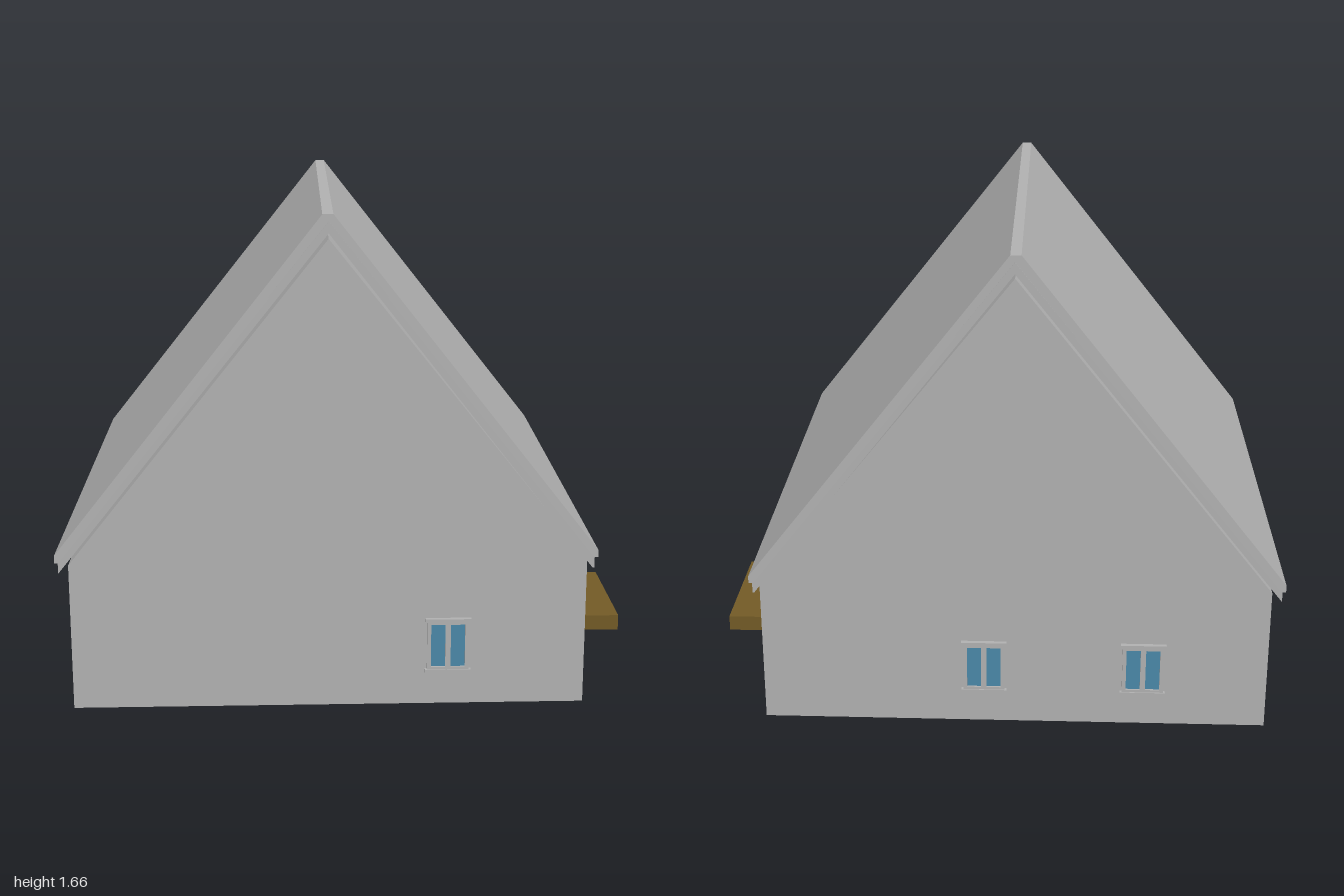
import * as THREE from 'three';

const mat = (name, color, extra = {}) => {
  const m = new THREE.MeshStandardMaterial({ color, ...extra });
  m.name = name;
  return m;
};

// Prism along z, centred on z = 0
function prism(points, halfDepth) {
  const shape = new THREE.Shape(points.map(([x, y]) => new THREE.Vector2(x, y)));
  const g = new THREE.ExtrudeGeometry(shape, { depth: halfDepth * 2, bevelEnabled: false });
  return g.translate(0, 0, -halfDepth);
}

function rectPath(Type, x0, y0, x1, y1) {
  const p = new Type();
  p.moveTo(x0, y0);
  p.lineTo(x1, y0);
  p.lineTo(x1, y1);
  p.lineTo(x0, y1);
  p.closePath();
  return p;
}

export function createModel() {
  const grey = mat('plaster grey', 0xb0b0b0);
  const brown = mat('wood brown', 0x725a26);
  const blue = mat('glass blue', 0x4a87a7);

  const house = new THREE.Group();
  house.name = 'house';
  const add = (parent, name, geometry, material, x = 0, y = 0, z = 0) => {
    const mesh = new THREE.Mesh(geometry, material);
    mesh.name = name;
    mesh.position.set(x, y, z);
    parent.add(mesh);
    return mesh;
  };

  // Walls with gable ends
  const X0 = -0.96, X1 = 0.755, Z = 0.86;
  add(house, 'walls', prism([[X0, 0], [X1, 0], [X1, 0.505], [-0.1, 1.58], [X0, 0.505]], Z), grey);

  // Lower roof layer, a thin shell above the gables
  add(house, 'roofLining', prism([
    [-0.99, 0.485], [-0.1, 1.6], [0.77, 0.485], [0.775, 0.485],
    [0.775, 0.525], [-0.1, 1.638], [-0.99, 0.525],
  ], 0.882), grey);

  // Upper roof layer, slightly longer at the eaves than at the ridge
  const roof = prism([
    [-1, 0.525], [-0.985, 0.525], [-0.1, 1.63], [0.77, 0.525], [0.785, 0.525],
    [0.785, 0.55], [-0.085, 1.66], [-0.12, 1.66], [-1, 0.55],
  ], 1);
  const p = roof.attributes.position;
  for (let i = 0; i < p.count; i++) {
    const t = (p.getY(i) - 0.525) / 1.135;
    p.setZ(i, Math.sign(p.getZ(i)) * (0.892 - 0.013 * t));
  }
  roof.computeVertexNormals();
  add(house, 'roof', roof, grey);

  // Window: frame with two openings, panes, head and sill
  const frameShape = rectPath(THREE.Shape, -0.07, -0.09, 0.07, 0.09);
  for (const s of [-1, 1]) {
    const c = s * 0.033;
    frameShape.holes.push(rectPath(THREE.Path, c - 0.024, -0.075, c + 0.024, 0.075));
  }
  const frameGeo = new THREE.ExtrudeGeometry(frameShape, { depth: 0.011, bevelEnabled: false });
  const paneGeo = new THREE.BoxGeometry(0.05, 0.152, 0.004);
  const ledgeGeo = new THREE.BoxGeometry(0.154, 0.012, 0.015);
  function addWindow(x, z, angle) {
    const w = new THREE.Group();
    w.name = 'window';
    add(w, 'windowFrame', frameGeo, grey);
    for (const s of [-1, 1]) add(w, 'windowPane', paneGeo, blue, s * 0.033, 0, 0.002);
    add(w, 'windowHead', ledgeGeo, grey, 0, 0.09, 0.0075);
    add(w, 'windowSill', ledgeGeo, grey, 0, -0.09, 0.0075);
    w.position.set(x, 0.21, z);
    w.rotation.y = angle;
    house.add(w);
  }
  addWindow(0.295, Z, 0);
  addWindow(0, -Z, Math.PI);
  addWindow(-0.54, -Z, Math.PI);
  addWindow(X1, 0.515, Math.PI / 2);
  addWindow(X1, -0.49, Math.PI / 2);
  addWindow(X0, -0.25, -Math.PI / 2);

  // Door, knob and porch step
  add(house, 'door', new THREE.BoxGeometry(0.02, 0.265, 0.13), brown, 0.761, 0.1875, 0.003);
  const stem = new THREE.CylinderGeometry(0.004, 0.004, 0.012, 10).rotateZ(Math.PI / 2);
  add(house, 'knobStem', stem, grey, 0.774, 0.18, -0.048);
  add(house, 'doorKnob', new THREE.SphereGeometry(0.009, 14, 10), grey, 0.781, 0.18, -0.048);
  add(house, 'porchStep', new THREE.BoxGeometry(0.245, 0.057, 0.476), brown, 0.8775, 0.0285, -0.012);

  return house;
}
